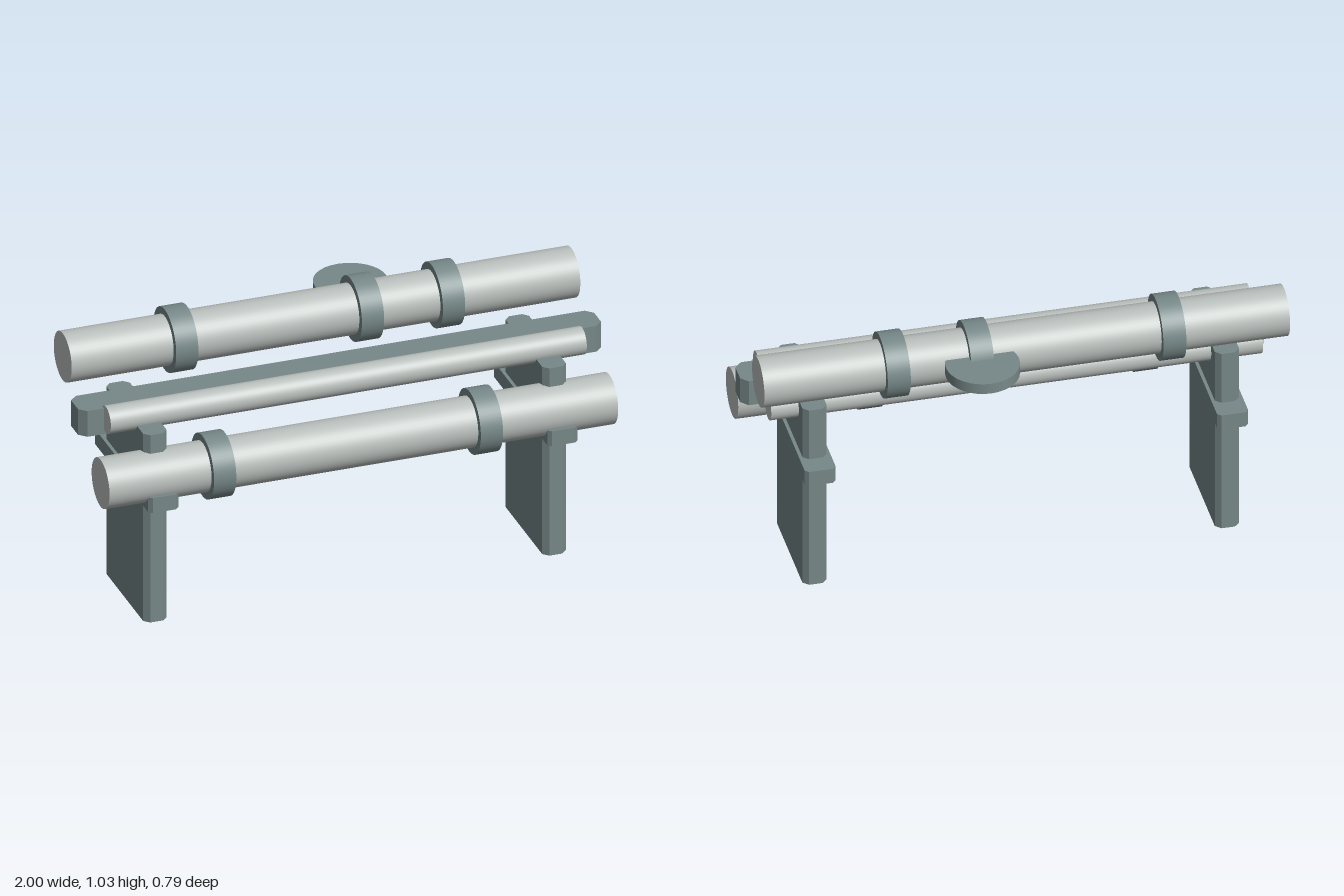
import * as THREE from 'three';

const dark = new THREE.MeshStandardMaterial({ color: 0x778888 });
const light = new THREE.MeshStandardMaterial({ color: 0xb9bfbc });

export function createModel() {
  const model = new THREE.Group();

  const add = (name, geometry, material, x, y, z) => {
    const mesh = new THREE.Mesh(geometry, material);
    mesh.name = name;
    mesh.position.set(x, y, z);
    model.add(mesh);
    return mesh;
  };

  // Round bar lying along x, centred on (x, y, z)
  const bar = (name, radius, length, material, x, y, z) =>
    add(name, new THREE.CylinderGeometry(radius, radius, length, 48).rotateZ(Math.PI / 2), material, x, y, z);

  // Upright block with its four vertical corners chamfered; y is its base
  const block = (name, w, h, d, c, x, y, z) => {
    const a = w / 2, b = d / 2;
    const outline = new THREE.Shape([
      [a, -b + c], [a, b - c], [a - c, b], [-a + c, b],
      [-a, b - c], [-a, -b + c], [-a + c, -b], [a - c, -b],
    ].map(([px, py]) => new THREE.Vector2(px, py)));
    const geometry = new THREE.ExtrudeGeometry(outline, { depth: h, bevelEnabled: false });
    return add(name, geometry.rotateX(-Math.PI / 2), dark, x, y, z);
  };

  // Panel legs, each with a cross brace
  for (const [side, x] of [['left', 0.763], ['right', -0.763]]) {
    block(side + 'Leg', 0.09, 0.76, 0.43, 0.02, x, 0, 0.074);
    block(side + 'Brace', 0.115, 0.061, 0.59, 0.013, x, 0.487, 0.075);
  }

  // Central beam with a thin rail on either side
  block('beam', 2, 0.104, 0.126, 0.027, 0, 0.712, 0.074);
  bar('frontRail', 0.052, 1.82, light, 0, 0.78, 0.158);
  bar('backRail', 0.052, 1.82, light, 0, 0.716, -0.016);

  // Thick front tube and its collars
  bar('frontTube', 0.095, 1.945, light, 0, 0.591, 0.274);
  for (const x of [-0.54, 0.48]) bar('frontCollar', 0.122, 0.085, dark, x, 0.591, 0.274);

  // Thick raised back tube and its collars
  bar('backTube', 0.095, 1.945, light, 0, 0.907, -0.127);
  for (const x of [-0.54, 0.17, 0.48]) bar('backCollar', 0.122, 0.085, dark, x, 0.907, -0.127);

  // Round plate behind the back tube
  add('roundPlate', new THREE.CylinderGeometry(0.135, 0.135, 0.042, 32), dark, 0.175, 0.927, -0.26);

  return model;
}
